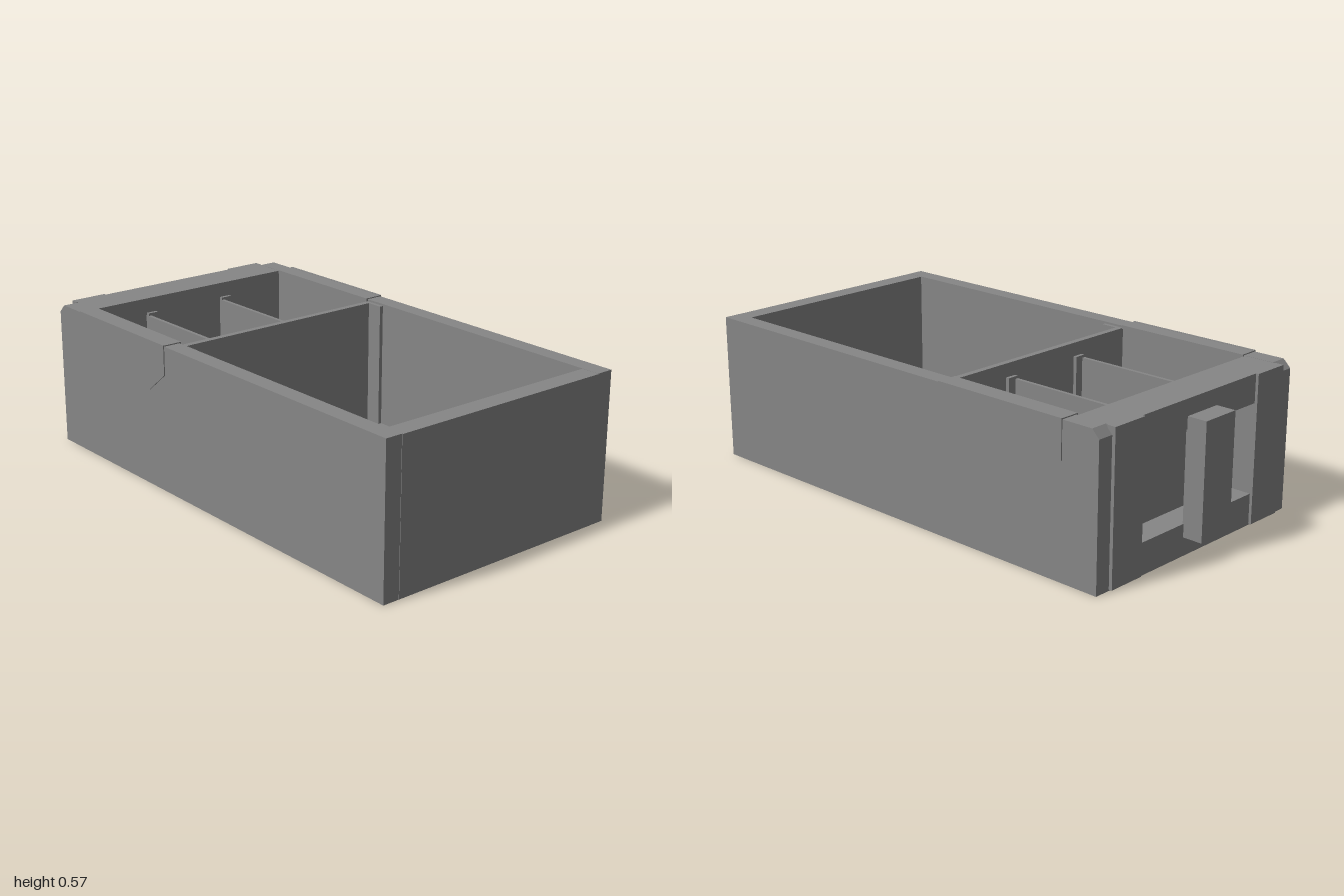
import * as THREE from 'three';

export function createModel() {
  const model = new THREE.Group();
  const material = new THREE.MeshStandardMaterial({ color: 0x868686, flatShading: true });

  const add = (name, geometry) => {
    const mesh = new THREE.Mesh(geometry, material);
    mesh.name = name;
    model.add(mesh);
    return mesh;
  };
  // Box given by its extents on each axis
  const box = (name, x0, x1, y0, y1, z0, z1) => {
    const geometry = new THREE.BoxGeometry(x1 - x0, y1 - y0, z1 - z0);
    geometry.translate((x0 + x1) / 2, (y0 + y1) / 2, (z0 + z1) / 2);
    return add(name, geometry);
  };
  const outline = (points) => new THREE.Shape(points.map(([a, b]) => new THREE.Vector2(a, b)));
  const extrude = (shape, depth) => new THREE.ExtrudeGeometry(shape, { depth, bevelEnabled: false });

  // Tray floor and plain end wall, which stands a hair proud of the side walls
  box('floor', -0.915, 0.995, 0, 0.07, -0.46, 0.46);
  box('plainEndWall', 0.925, 1, 0.001, 0.569, -0.457, 0.457);

  // Long side walls with a clipped top corner at the handle end
  const wall = outline([[-0.92, 0], [0.998, 0], [0.998, 0.57], [-0.89, 0.57], [-0.92, 0.54]]);
  // Thin side cover plates with clipped lower corners
  const plate = outline([[-0.765, 0.575], [-0.765, 0.43], [-0.67, 0.38], [-0.3, 0.38], [-0.2, 0.46], [-0.2, 0.575]]);
  for (const side of [-1, 1]) {
    add('sideWall', extrude(wall, 0.067)).position.z = side > 0 ? 0.456 : -0.523;
    add('sideCover', extrude(plate, 0.01)).position.z = side > 0 ? 0.517 : -0.527;
    const rim = [side * 0.449, side * 0.52].sort((a, b) => a - b);
    box('coverRim', -0.765, -0.2, 0.56, 0.574, rim[0], rim[1]);
  }

  // Handle end wall: a framed recess in front of a solid back panel
  const frame = outline([[-0.457, 0], [0.457, 0], [0.457, 0.569], [-0.457, 0.569]]);
  frame.holes.push(outline([[-0.31, 0.12], [-0.31, 0.46], [0.31, 0.46], [0.31, 0.12]]));
  const frameMesh = add('handleEndFrame', extrude(frame, 0.102));
  frameMesh.rotation.y = -Math.PI / 2;
  frameMesh.position.x = -0.82;
  box('handleEndPanel', -0.82, -0.77, 0, 0.569, -0.457, 0.457);
  for (const [z0, z1] of [[-0.46, -0.31], [0.31, 0.46]]) {
    box('endPost', -0.933, -0.9, 0.005, 0.569, z0, z1);
  }
  box('handle', -1, -0.918, 0.07, 0.507, -0.073, 0.087);

  // Main partition with mounting flanges along both side walls
  box('mainPartition', -0.2, -0.176, 0.06, 0.562, -0.457, 0.457);
  for (const side of [-1, 1]) {
    const z = side * 0.449;
    box('partitionFlange', -0.18, -0.11, 0.06, 0.562, z - 0.008, z + 0.008);
  }

  // Low dividers in the small compartment, with a tab at each end
  for (const z of [-0.151, 0.212]) {
    box('lowDivider', -0.772, -0.198, 0.06, 0.5, z - 0.007, z + 0.007);
    for (const x of [-0.763, -0.207]) {
      box('dividerTab', x - 0.007, x + 0.007, 0.06, 0.51, z - 0.04, z + 0.005);
    }
  }

  return model;
}
